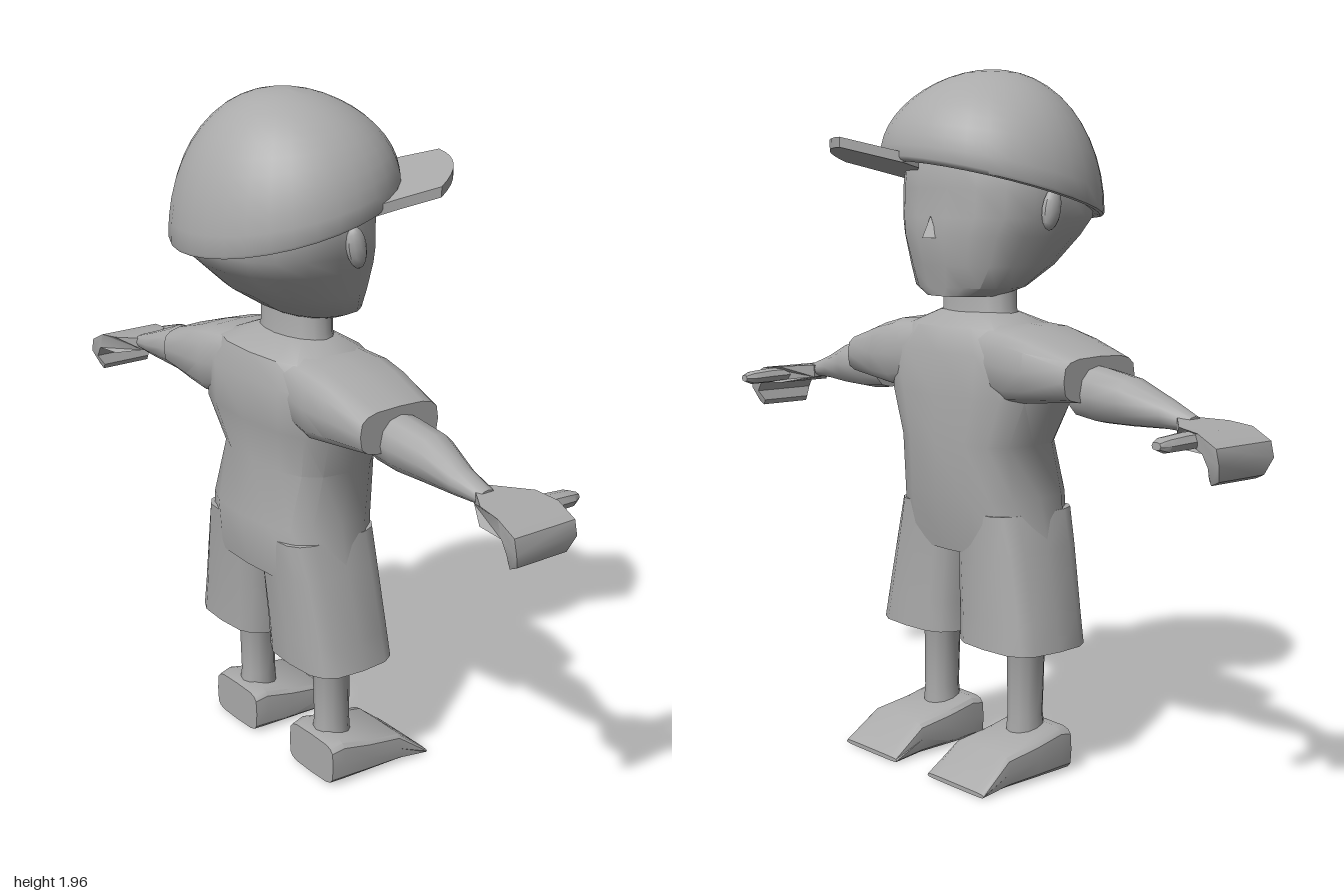
import * as THREE from 'three';
import { toCreasedNormals } from 'three/addons/utils/BufferGeometryUtils.js';

const clay = new THREE.MeshStandardMaterial({ color: 0xaaaaaa, side: THREE.DoubleSide });
clay.name = 'grey clay';

// Closed skin over rounded-rectangle sections, listed with rising t along an axis.
// Row: [t, a0, a1, b0, b1], with (a, b) = (x, z) on y, (y, z) on x, (x, y) on z.
function loft(axis, rows, power = 2.5, sides = 16) {
  const place = {
    x: (t, a, b) => [t, a, b],
    y: (t, a, b) => [a, t, b],
    z: (t, a, b) => [a, b, t],
  }[axis];
  const round = (v) => Math.sign(v) * Math.abs(v) ** (2 / power);
  const pos = [], index = [];
  for (const [t, a0, a1, b0, b1] of rows) {
    for (let i = 0; i < sides; i++) {
      const p = (i / sides) * Math.PI * 2;
      pos.push(...place(t, (a0 + a1) / 2 + (a1 - a0) / 2 * round(Math.cos(p)),
        (b0 + b1) / 2 + (b1 - b0) / 2 * round(Math.sin(p))));
    }
  }
  const tri = (a, b, c) => index.push(...(axis === 'y' ? [a, c, b] : [a, b, c]));
  const last = (rows.length - 1) * sides;
  for (let r = 0; r < last; r += sides) {
    for (let i = 0; i < sides; i++) {
      const j = (i + 1) % sides;
      tri(r + i, r + j, r + sides + j);
      tri(r + i, r + sides + j, r + sides + i);
    }
  }
  for (let i = 1; i < sides - 1; i++) {
    tri(0, i + 1, i);
    tri(last, last + i, last + i + 1);
  }
  const geo = new THREE.BufferGeometry();
  geo.setAttribute('position', new THREE.Float32BufferAttribute(pos, 3));
  geo.setIndex(index);
  return geo;
}

// Move every vertex by a rule
function warp(geo, rule) {
  const p = geo.attributes.position, v = new THREE.Vector3();
  for (let i = 0; i < p.count; i++) {
    rule(v.fromBufferAttribute(p, i));
    p.setXYZ(i, v.x, v.y, v.z);
  }
  return geo;
}

// Mirrored copy with its corner order restored
function mirrored(geo) {
  const g = geo.index ? geo.toNonIndexed() : geo.clone();
  const p = g.attributes.position, a = new THREE.Vector3(), b = new THREE.Vector3();
  for (let i = 0; i < p.count; i += 3) {
    a.fromBufferAttribute(p, i + 1);
    b.fromBufferAttribute(p, i + 2);
    p.setXYZ(i + 1, b.x, b.y, b.z);
    p.setXYZ(i + 2, a.x, a.y, a.z);
  }
  return g.scale(-1, 1, 1);
}

export function createModel() {
  const model = new THREE.Group();
  model.name = 'child in cap';
  const add = (name, geo, crease = 0.75) => {
    const mesh = new THREE.Mesh(toCreasedNormals(geo, crease), clay);
    mesh.name = name;
    model.add(mesh);
  };
  const pair = (name, geo, crease) => {
    add(name + 'PlusX', geo, crease);
    add(name + 'MinusX', mirrored(geo), crease);
  };

  // Shirt trunk down to the crotch
  add('shirt', loft('y', [
    [0.62, -0.272, 0.272, -0.115, 0.185],
    [0.78, -0.237, 0.237, -0.15, 0.21],
    [0.93, -0.235, 0.235, -0.155, 0.165],
    [1.06, -0.295, 0.295, -0.155, 0.195],
    [1.18, -0.3, 0.3, -0.145, 0.195],
    [1.25, -0.23, 0.23, -0.125, 0.175],
    [1.29, -0.13, 0.13, -0.06, 0.085],
  ], 2.8));

  // Sleeves
  pair('sleeve', loft('x', [
    [0.1, 1.08, 1.27, -0.12, 0.17],
    [0.25, 1.05, 1.26, -0.135, 0.18],
    [0.33, 1.06, 1.24, -0.13, 0.175],
    [0.47, 1.075, 1.195, -0.105, 0.155],
  ], 3.5));

  // Wide shorts legs, tapering up under the hem
  pair('shortsLeg', loft('y', [
    [0.365, 0.016, 0.33, -0.125, 0.165],
    [0.45, 0.013, 0.312, -0.122, 0.168],
    [0.64, 0.002, 0.27, -0.117, 0.18],
    [0.74, 0, 0.24, -0.12, 0.19],
  ], 3.4));

  // Shins and shoes
  pair('shin', loft('y', [
    [0.08, 0.13, 0.24, -0.035, 0.085],
    [0.16, 0.137, 0.233, -0.03, 0.075],
    [0.33, 0.133, 0.237, -0.03, 0.08],
    [0.4, 0.11, 0.26, -0.05, 0.1],
  ], 2, 12));
  pair('shoe', loft('z', [
    [-0.24, 0.07, 0.31, 0, 0.012],
    [-0.14, 0.075, 0.305, 0, 0.095],
    [-0.03, 0.078, 0.302, 0, 0.113],
    [0.06, 0.08, 0.3, 0, 0.135],
    [0.1, 0.085, 0.295, 0, 0.125],
  ], 5, 16), 0.6);

  // Arms
  pair('arm', loft('x', [
    [0.42, 1.03, 1.175, -0.045, 0.09],
    [0.5, 1.022, 1.168, -0.05, 0.09],
    [0.6, 1.025, 1.153, -0.05, 0.085],
    [0.72, 1.03, 1.105, -0.015, 0.07],
    [0.81, 1.03, 1.072, -0.005, 0.05],
  ], 2.2, 12));

  // Curled mitten hands, narrowing to the wrist and fingertips
  const curl = new THREE.Shape([
    [0.78, 1.03], [0.86, 1.01], [0.945, 1.008], [0.965, 0.975], [0.953, 0.945],
    [0.96, 0.93], [0.985, 0.942], [1, 0.985], [0.99, 1.025], [0.93, 1.055],
    [0.86, 1.062], [0.78, 1.068],
  ].map(([x, y]) => new THREE.Vector2(x, y)));
  const hand = new THREE.ExtrudeGeometry(curl, { depth: 0.2, bevelEnabled: false });
  warp(hand.translate(0, 0, -0.1), (v) => {
    const wrist = THREE.MathUtils.clamp((v.x - 0.75) / 0.12, 0, 1);
    const tip = v.y < 0.96 ? 0.82 : 1;
    v.z = v.z * wrist * tip + 0.02 * (1 - wrist);
  });
  pair('hand', hand);
  pair('thumb', loft('z', [
    [-0.2, 0.875, 0.905, 1.02, 1.04],
    [-0.175, 0.863, 0.918, 1.01, 1.05],
    [-0.11, 0.86, 0.92, 1.01, 1.055],
    [-0.04, 0.85, 0.93, 1.015, 1.055],
  ], 2.5, 8));

  // Neck and head
  add('neck', loft('y', [
    [1.24, -0.15, 0.15, -0.075, 0.1],
    [1.3, -0.132, 0.132, -0.06, 0.085],
    [1.42, -0.13, 0.13, -0.06, 0.085],
  ], 2.2));
  add('head', loft('y', [
    [1.335, -0.11, 0.11, -0.14, 0.05],
    [1.36, -0.175, 0.175, -0.145, 0.1],
    [1.42, -0.215, 0.215, -0.155, 0.195],
    [1.5, -0.248, 0.248, -0.172, 0.285],
    [1.55, -0.275, 0.275, -0.165, 0.315],
    [1.63, -0.28, 0.28, -0.16, 0.315],
    [1.72, -0.255, 0.255, -0.155, 0.26],
    [1.79, -0.18, 0.18, -0.11, 0.18],
  ], 2.3, 18));
  add('nose', new THREE.ConeGeometry(0.03, 0.06, 4).translate(0, 1.525, -0.165), 0.3);
  pair('ear', new THREE.SphereGeometry(1, 10, 8).scale(0.022, 0.058, 0.03)
    .rotateX(0.2).translate(0.28, 1.575, 0.025));

  // Cap dome with a tilted rim and a narrow turned-in lip
  const rimRise = (x, z) => 0.06 * x - 0.27 * (z - 0.05);
  const profile = [[0.86, -0.005], [0.96, -0.035], [0.99, -0.025]];
  for (let i = 0; i <= 12; i++) {
    const t = (i / 12) * Math.PI / 2;
    profile.push([Math.cos(t), Math.sin(t)]);
  }
  const dome = new THREE.LatheGeometry(profile.map(([r, y]) => new THREE.Vector2(Math.max(r, 0), y)), 32);
  warp(dome, (v) => {
    const tilt = 1 - Math.max(v.y, 0);
    v.x *= 0.332;
    v.z = 0.055 + v.z * 0.302;
    v.y = 1.635 + 0.32 * v.y + rimRise(v.x, v.z) * tilt;
  });
  add('capDome', dome);

  // Cap brim, turned to one side and following the rim's tilt
  const outline = new THREE.Shape();
  outline.moveTo(0.3, 0);
  outline.lineTo(0.335, 0.07);
  outline.lineTo(0.39, 0.165);
  outline.quadraticCurveTo(0.31, 0.32, 0.15, 0.36);
  outline.lineTo(0.03, 0.235);
  outline.lineTo(0.03, 0.18);
  const brim = new THREE.ExtrudeGeometry(outline, { depth: 0.028, bevelEnabled: false, curveSegments: 8 });
  warp(brim.rotateX(-Math.PI / 2), (v) => { v.y += 1.62 + rimRise(v.x, v.z); });
  add('capBrim', brim);

  return model;
}
